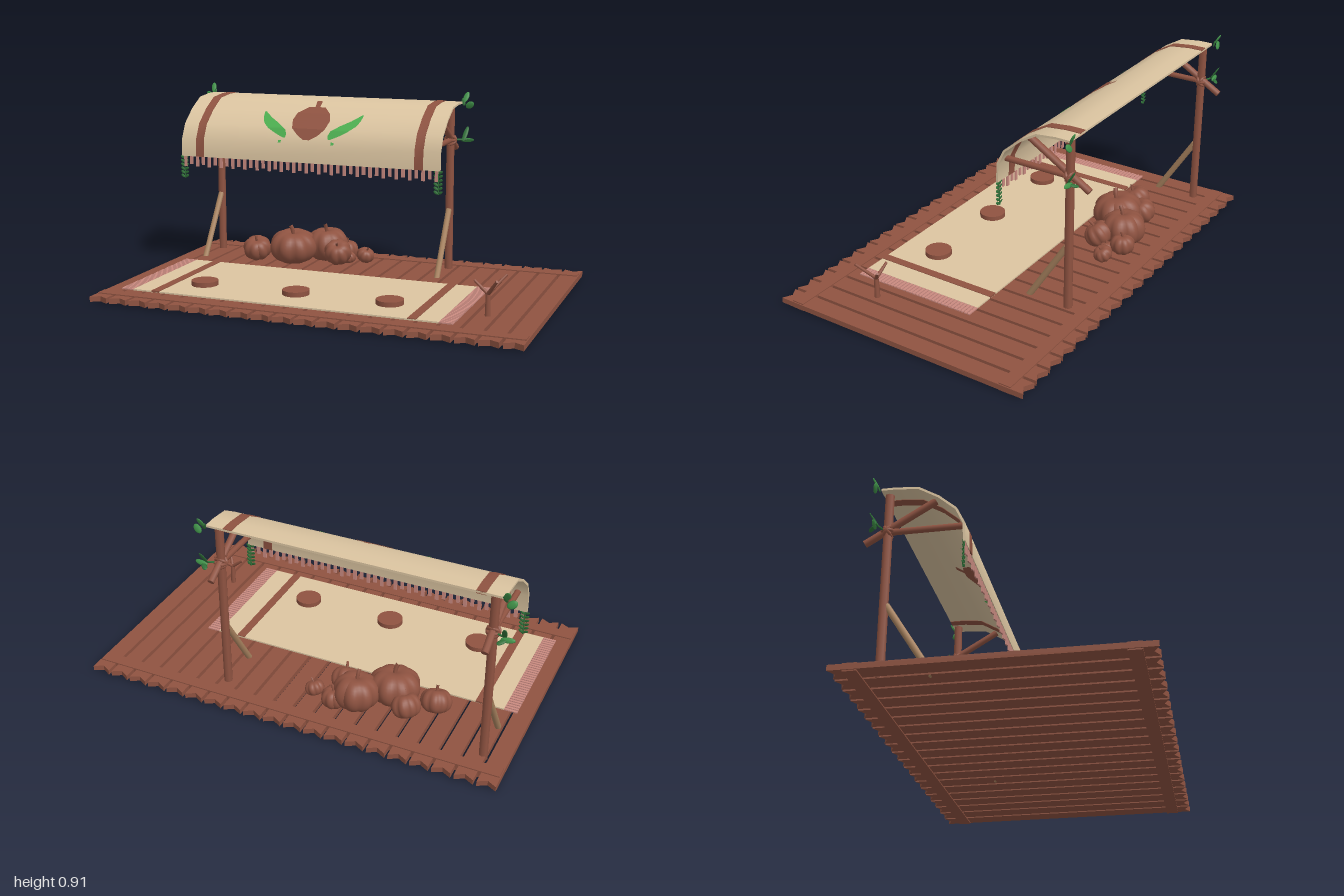
import * as THREE from 'three';
import { toCreasedNormals } from 'three/addons/utils/BufferGeometryUtils.js';

const mat = (name, color, side = THREE.FrontSide) => {
  const m = new THREE.MeshStandardMaterial({ color, side });
  m.name = name;
  return m;
};
const V = (x, y, z) => new THREE.Vector3(x, y, z);

export function createModel() {
  const wood = mat('brown wood', 0x8f5341);
  const paint = mat('brown paint', 0x8f5341, THREE.DoubleSide);
  const strutWood = mat('tan wood', 0xa9835f);
  const canvas = mat('beige cloth', 0xdcc5a1);
  const fringePink = mat('pink fringe', 0xc98a80);
  const green = mat('bright green', 0x4caf50, THREE.DoubleSide);
  const leafGreen = mat('leaf green', 0x3f9148);
  const vineGreen = mat('vine green', 0x2f7038);

  const root = new THREE.Group();
  root.name = 'marketStall';

  const add = (name, geo, material, pos = [0, 0, 0], parent = root) => {
    const m = new THREE.Mesh(geo, material);
    m.name = name;
    m.position.set(...pos);
    parent.add(m);
    return m;
  };
  const box = (name, material, x0, x1, y0, y1, z0, z1, parent) =>
    add(name, new THREE.BoxGeometry(x1 - x0, y1 - y0, z1 - z0), material,
      [(x0 + x1) / 2, (y0 + y1) / 2, (z0 + z1) / 2], parent);
  const bar = (name, a, b, r, material, r2 = r, parent = root) => {
    const d = b.clone().sub(a);
    const m = add(name, new THREE.CylinderGeometry(r2, r, d.length(), 8), material,
      a.clone().add(b).multiplyScalar(0.5).toArray(), parent);
    m.quaternion.setFromUnitVectors(V(0, 1, 0), d.normalize());
    return m;
  };
  const group = (name) => {
    const g = new THREE.Group();
    g.name = name;
    root.add(g);
    return g;
  };

  // Deck: planks with swallow-tail ends, tied by two cross beams
  const deck = group('deck');
  const w = 0.0425, plank = new THREE.Shape();
  plank.moveTo(-w, -0.64);
  plank.lineTo(0, -0.617);
  plank.lineTo(w, -0.64);
  plank.lineTo(w, 0.64);
  plank.lineTo(0, 0.617);
  plank.lineTo(-w, 0.64);
  const plankGeo = new THREE.ExtrudeGeometry(plank, { depth: 0.025, bevelEnabled: false });
  plankGeo.rotateX(-Math.PI / 2);
  for (let i = 0; i < 20; i++)
    add('plank', plankGeo, wood, [-0.9575 + i * 1.915 / 19, 0.01, 0], deck);
  for (const z of [-0.55, 0.55])
    box('crossBeam', wood, -0.995, 0.995, 0.004, 0.04, z - 0.029, z + 0.029, deck);

  // Rug with stripes, end fringes and three round seats
  const rug = group('rug');
  box('rugCloth', canvas, -0.87, 0.6, 0.035, 0.042, -0.14, 0.475, rug);
  for (const x of [-0.755, 0.48])
    box('rugStripe', paint, x - 0.02, x + 0.02, 0.036, 0.0445, -0.14, 0.475, rug);
  for (let i = 0; i < 35; i++) {
    const z = -0.136 + i * 0.0178;
    box('rugTassel', fringePink, -0.932, -0.87, 0.036, 0.042, z - 0.006, z + 0.006, rug);
    box('rugTassel', fringePink, 0.6, 0.662, 0.036, 0.042, z - 0.006, z + 0.006, rug);
  }
  for (const x of [-0.6, -0.135, 0.317])
    add('roundSeat', new THREE.CylinderGeometry(0.063, 0.063, 0.023, 24), wood, [x, 0.0525, 0.283]);

  // Forked branch stand
  const fork = V(0.762, 0.14, 0.29);
  bar('standTrunk', V(0.762, 0.035, 0.29), fork, 0.013, wood, 0.01);
  for (const [x, y, z] of [[0.698, 0.185, 0.28], [0.827, 0.208, 0.225], [0.817, 0.208, 0.36]])
    bar('standFork', fork.clone().add(V(0, -0.008, 0)), V(x, y, z), 0.009, wood, 0.006);

  // Posts, struts, arms, lashings, leaves and vines at both ends
  const leafGeo = new THREE.SphereGeometry(1, 8, 6);
  const leaf = (parent, x, y, z, long, wide, tiltX, tiltZ, material = leafGreen) => {
    const m = add('leaf', leafGeo, material, [x, y, z], parent);
    m.scale.set(wide, long, wide * 0.35);
    m.rotation.set(tiltX, 0, tiltZ);
  };
  for (const [x, s] of [[-0.884, -1], [0.367, 1]]) {
    const g = group(s < 0 ? 'rightFrame' : 'leftFrame');
    bar('post', V(x, 0.012, -0.463), V(x, 0.855, -0.463), 0.02, wood, 0.02, g);
    bar('strut', V(x, 0.012, -0.25), V(x, 0.335, -0.452), 0.0145, strutWood, 0.0145, g);
    bar('arm', V(x, 0.677, -0.14), V(x, 0.677, -0.48), 0.014, wood, 0.014, g);
    bar('brace', V(x, 0.808, -0.262), V(x, 0.63, -0.56), 0.016, wood, 0.016, g);
    for (const tilt of [0.6, -0.6, 1.57]) {
      const t = add('lashing', new THREE.TorusGeometry(0.026, 0.007, 6, 14), wood, [x, 0.678, -0.463], g);
      t.rotation.x = tilt;
    }
    const e = s < 0 ? -0.925 : 0.412;
    leaf(g, e + s * 0.018, 0.885, -0.508, 0.03, 0.014, -0.5, -s * 0.25);
    leaf(g, e + s * 0.038, 0.848, -0.503, 0.024, 0.017, 0.3, -s * 0.9);
    leaf(g, e + s * 0.008, 0.863, -0.497, 0.02, 0.01, -0.3, s * 0.3, vineGreen);
    leaf(g, e + s * 0.018, 0.705, -0.505, 0.042, 0.012, -0.55, -s * 0.15, vineGreen);
    leaf(g, e + s * 0.032, 0.676, -0.5, 0.032, 0.012, 0.5, -s * 1.45);
    leaf(g, e + s * 0.01, 0.67, -0.515, 0.022, 0.012, 1.2, -s * 0.8, vineGreen);
    bar('leafStem', V(x, 0.678, -0.47), V(e + s * 0.03, 0.68, -0.495), 0.005, vineGreen, 0.004, g);
    // hanging vine at the front corner
    const vx = e - s * 0.005;
    bar('vineStem', V(vx, 0.59, -0.128), V(vx, 0.465, -0.133), 0.003, vineGreen, 0.003, g);
    for (let i = 0; i < 6; i++)
      for (const q of [-1, 1])
        leaf(g, vx + q * 0.011, 0.57 - i * 0.019, -0.13, 0.013, 0.007, 0.2 * q, -q * 1.0, vineGreen);
  }

  // Awning cross-section, as [z, y] from the back ridge to the front hem
  const prof = [[-0.488, 0.86], [-0.42, 0.86], [-0.325, 0.85], [-0.24, 0.8],
    [-0.165, 0.735], [-0.131, 0.665], [-0.127, 0.577]].map((p) => new THREE.Vector2(...p));
  const normals = prof.map((p, i) => {
    const a = prof[Math.max(i - 1, 0)], b = prof[Math.min(i + 1, prof.length - 1)];
    const d = b.clone().sub(a).normalize();
    return new THREE.Vector2(-d.y, d.x);
  });
  const offset = (h) => prof.map((p, i) => p.clone().addScaledVector(normals[i], h));
  const awning = group('awning');
  const arch = (name, material, x0, x1, h) => {
    const shape = new THREE.Shape([...offset(h), ...offset(-h).reverse()]);
    const geo = new THREE.ExtrudeGeometry(shape, { depth: x1 - x0, bevelEnabled: false });
    geo.rotateY(-Math.PI / 2);
    geo.translate(x1, 0, 0);
    add(name, toCreasedNormals(geo, 0.8), material, [0, 0, 0], awning);
  };
  arch('awningCloth', canvas, -0.93, 0.418, 0.005);
  arch('awningStripe', paint, -0.85, -0.808, 0.0075);
  arch('awningStripe', paint, 0.292, 0.335, 0.0075);

  // Painted motifs: rows of [y, x0, x1] laid along the curve on both faces
  const surface = (y, h) => {
    let i = 1;
    while (i < prof.length - 2 && prof[i + 1].y > y) i++;
    const t = (prof[i].y - y) / (prof[i].y - prof[i + 1].y);
    return prof[i].clone().lerp(prof[i + 1], t)
      .addScaledVector(normals[i].clone().lerp(normals[i + 1], t), h);
  };
  const motif = (name, material, rows) => {
    const fine = [];
    for (let i = 0; i + 1 < rows.length; i++)
      for (let k = 0; k <= 4; k++)
        fine.push(rows[i].map((v, j) => v + (rows[i + 1][j] - v) * k / 4));
    for (const h of [0.0075, -0.0075]) {
      const pos = [], idx = [];
      fine.forEach(([y, x0, x1], i) => {
        const p = surface(y, h);
        pos.push(x0, p.y, p.x, x1, p.y, p.x);
        const a = i * 2;
        if (i) idx.push(a - 2, a, a - 1, a - 1, a, a + 1);
      });
      const geo = new THREE.BufferGeometry();
      geo.setAttribute('position', new THREE.Float32BufferAttribute(pos, 3));
      geo.setIndex(idx);
      geo.computeVertexNormals();
      add(name, geo, material, [0, 0, 0], awning);
    }
  };
  motif('pumpkinMotif', paint, [[0.85, -0.276, -0.247], [0.826, -0.27, -0.245], [0.825, -0.3, -0.215],
    [0.8, -0.345, -0.175], [0.77, -0.356, -0.162], [0.735, -0.343, -0.172],
    [0.705, -0.31, -0.205], [0.685, -0.275, -0.245]]);
  const leafRows = [[0.8, -0.52, -0.512], [0.775, -0.515, -0.47], [0.752, -0.5, -0.42],
    [0.728, -0.465, -0.378], [0.708, -0.425, -0.368], [0.692, -0.385, -0.372]];
  const dotRows = [[0.68, -0.405, -0.39], [0.668, -0.405, -0.39]];
  for (const rows of [leafRows, dotRows]) {
    motif('leafMotif', green, rows);
    motif('leafMotif', green, rows.map(([y, a, b]) => [y, -0.52 - b, -0.52 - a]));
  }

  // Hem fringe
  for (let i = 0; i < 41; i++) {
    const x = -0.912 + i * 0.0328, low = i % 2 ? 0.537 : 0.526;
    box('hemTassel', fringePink, x - 0.008, x + 0.008, low, 0.58, -0.13, -0.124, awning);
  }

  // Pumpkins: ribbed, dimpled spheres with bent stems
  const pumpkinGeo = new THREE.SphereGeometry(1, 48, 20);
  const p = pumpkinGeo.attributes.position;
  for (let i = 0; i < p.count; i++) {
    const v = V(p.getX(i), p.getY(i), p.getZ(i));
    const ring = Math.hypot(v.x, v.z);
    const rib = 1 - 0.13 * (1 - Math.abs(Math.sin(Math.atan2(v.z, v.x) * 4))) * ring;
    p.setXYZ(i, v.x * rib, v.y * (1 - 0.3 * Math.pow(1 - ring, 2)), v.z * rib);
  }
  pumpkinGeo.computeVertexNormals();
  const stemGeo = new THREE.TubeGeometry(new THREE.QuadraticBezierCurve3(
    V(0, 0.6, 0), V(0, 1, 0), V(0.12, 1.22, 0)), 5, 0.09, 6);
  for (const [x, y, z, r, squash, tiltX, tiltZ] of [
    [-0.595, 0.098, -0.28, 0.073, 0.85, 0.25, 0.2],
    [-0.395, 0.123, -0.285, 0.122, 0.75, 0.15, 0.05],
    [-0.255, 0.122, -0.395, 0.108, 0.85, 0, -0.1],
    [-0.485, 0.1, -0.37, 0.07, 0.9, 0.2, 0.3],
    [-0.165, 0.105, -0.31, 0.07, 0.9, 0.3, -0.3],
    [-0.165, 0.09, -0.44, 0.06, 0.9, -0.2, -0.2],
    [-0.05, 0.08, -0.4, 0.046, 0.85, 0.1, -0.4],
    [-0.13, 0.066, -0.375, 0.036, 0.85, 0.3, 0.2]]) {
    const g = group('pumpkin');
    g.position.set(x, y, z);
    g.rotation.set(tiltX, x * 7, tiltZ);
    g.scale.set(r, r * squash, r);
    add('pumpkinBody', pumpkinGeo, wood, [0, 0, 0], g);
    add('pumpkinStem', stemGeo, wood, [0, 0, 0], g);
  }

  return root;
}
